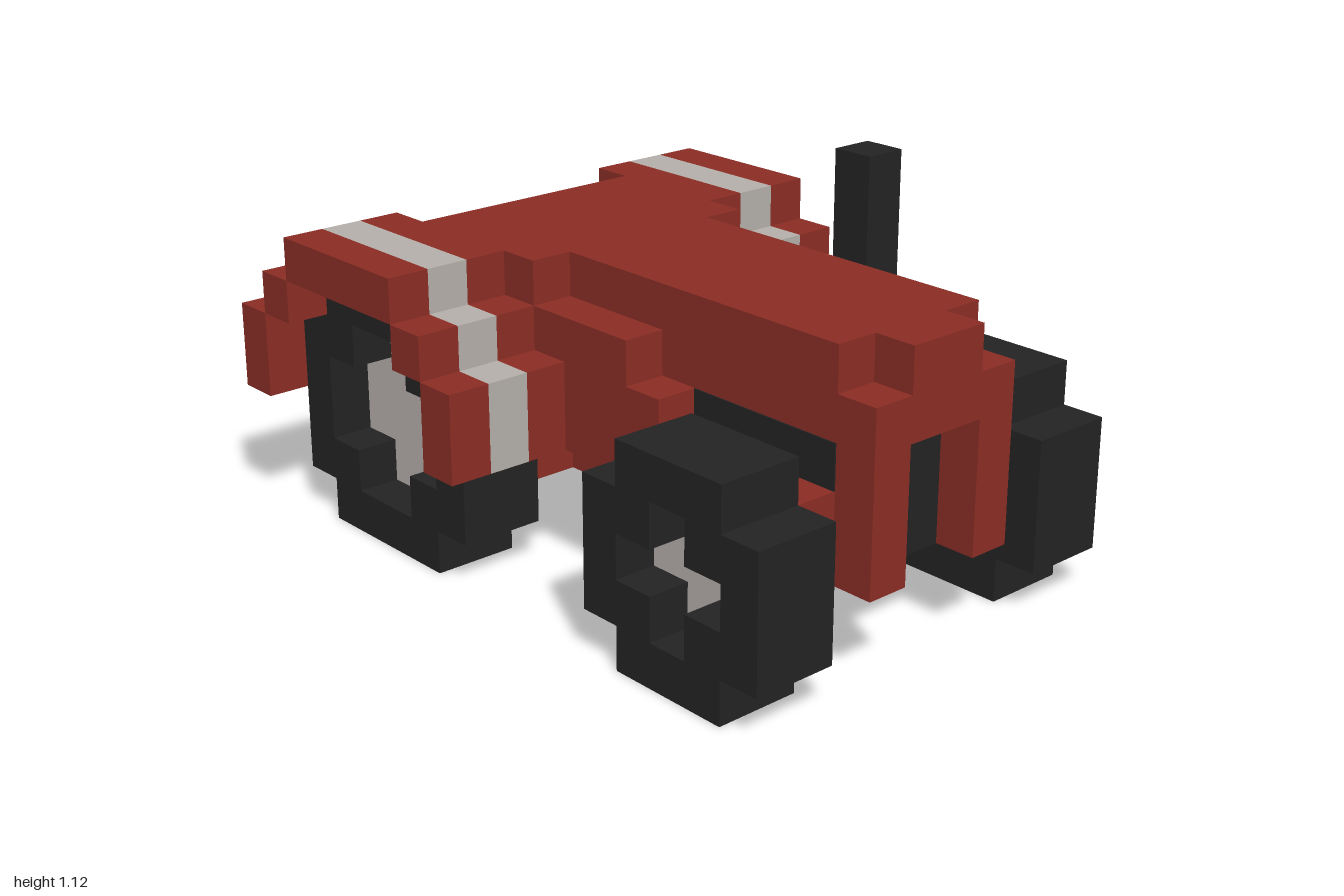
import * as THREE from 'three';

const U = 0.125; // one block

const mat = (name, color) => {
  const m = new THREE.MeshStandardMaterial({ color });
  m.name = name;
  return m;
};

// Square outline, n blocks wide, with one block cut from each corner
function notchedSquare(n, PathType = THREE.Shape) {
  const o = (n / 2) * U, i = o - U;
  const quarter = [[o, -i], [o, i], [i, i]];
  const points = [];
  for (let q = 0; q < 4; q++) {
    for (const [x, y] of quarter) {
      const [a, b] = [[x, y], [-y, x], [-x, -y], [y, -x]][q];
      points.push(new THREE.Vector2(a, b));
    }
  }
  return new PathType(points);
}

export function createModel() {
  const red = mat('red paint', 0x8a2d24);
  const black = mat('black rubber', 0x232323);
  const grey = mat('pale grey', 0xb5afaa);
  const gold = mat('gold', 0x9c6d24);

  const model = new THREE.Group();
  model.name = 'tractor';

  // Box given by its extents
  function box(name, material, [x0, x1], [y0, y1], [z0, z1], parent = model) {
    const g = new THREE.BoxGeometry(x1 - x0, y1 - y0, z1 - z0);
    g.translate((x0 + x1) / 2, (y0 + y1) / 2, (z0 + z1) / 2);
    const mesh = new THREE.Mesh(g, material);
    mesh.name = name;
    parent.add(mesh);
  }
  // The same box on both sides of the model
  function pair(name, material, xs, ys, [z0, z1], parent = model) {
    box(name + 'Near', material, xs, ys, [z0, z1], parent);
    box(name + 'Far', material, xs, ys, [-z1, -z0], parent);
  }

  // Main body
  box('hood', red, [-0.125, 0.875], [0.25, 0.875], [-0.25, 0.25]);
  box('rearBody', red, [-0.5, -0.125], [0.25, 0.875], [-0.375, 0.375]);
  box('rearDeck', red, [-0.625, -0.5], [0.5, 0.875], [-0.375, 0.375]);
  box('rearLedge', red, [-0.75, -0.625], [0.5, 0.75], [-0.375, 0.375]);

  // Stepped ledges along the hood
  pair('ledgeHigh', red, [-0.125, 0.25], [0.375, 0.75], [0.25, 0.375]);
  pair('ledgeMiddle', red, [0.25, 0.375], [0.375, 0.625], [0.25, 0.375]);
  pair('ledgeLow', red, [0.375, 0.875], [0.375, 0.5], [0.25, 0.375]);
  pair('enginePanel', black, [0.375, 0.875], [0.5, 0.625], [0.25, 0.254]);

  // Nose framing a recessed grille
  box('noseTop', red, [0.875, 1], [0.75, 0.875], [-0.125, 0.125]);
  box('noseBrow', red, [0.875, 1], [0.625, 0.75], [-0.25, 0.25]);
  pair('nosePost', red, [0.875, 1], [0.25, 0.625], [0.125, 0.25]);
  box('grille', black, [0.875, 0.879], [0.25, 0.625], [-0.125, 0.125]);

  // Rear plate and lamps
  box('rearPlate', gold, [-0.754, -0.75], [0.5, 0.625], [-0.125, 0.125]);
  pair('rearLamp', grey, [-0.754, -0.75], [0.5, 0.625], [0.125, 0.25]);

  // Exhaust
  box('exhaustManifold', black, [0.25, 0.375], [0.625, 0.75], [-0.375, -0.25]);
  box('exhaustPipe', black, [0, 0.25], [0.5, 0.625], [-0.5, -0.375]);
  box('exhaustStack', black, [0.25, 0.375], [0.5, 1.125], [-0.5, -0.375]);

  // Stepped fenders, each step made of three stripes
  const steps = [
    [[-1, -0.875], [0.375, 0.625]],
    [[-0.875, -0.75], [0.625, 0.75]],
    [[-0.75, -0.25], [0.75, 0.875]],
    [[-0.25, -0.125], [0.625, 0.75]],
    [[-0.125, 0], [0.375, 0.625]],
  ];
  const fenders = new THREE.Group();
  fenders.name = 'fenders';
  model.add(fenders);
  for (const [xs, ys] of steps) {
    pair('fenderInner', red, xs, ys, [0.375, 0.5], fenders);
    pair('fenderStripe', grey, xs, ys, [0.5, 0.625], fenders);
    pair('fenderOuter', red, xs, ys, [0.625, 0.75], fenders);
  }

  // Wheels: tyre ring with the hub set back on the outside
  function wheel(name, n, x, y, side) {
    const group = new THREE.Group();
    group.name = name;
    const ring = notchedSquare(n);
    ring.holes.push(notchedSquare(n - 2, THREE.Path));
    const tyre = new THREE.Mesh(
      new THREE.ExtrudeGeometry(ring, { depth: 2 * U, bevelEnabled: false }), black);
    tyre.name = 'tyre';
    const hub = new THREE.Mesh(
      new THREE.ExtrudeGeometry(notchedSquare(n - 2), { depth: U, bevelEnabled: false }), grey);
    hub.name = 'hub';
    group.add(tyre, hub);
    group.position.set(x, y, side * 0.375);
    if (side < 0) group.rotation.y = Math.PI;
    model.add(group);
  }
  for (const side of [1, -1]) {
    wheel('rearWheel', 6, -0.5, 0.375, side);
    wheel('frontWheel', 5, 0.6875, 0.3125, side);
  }

  return model;
}
